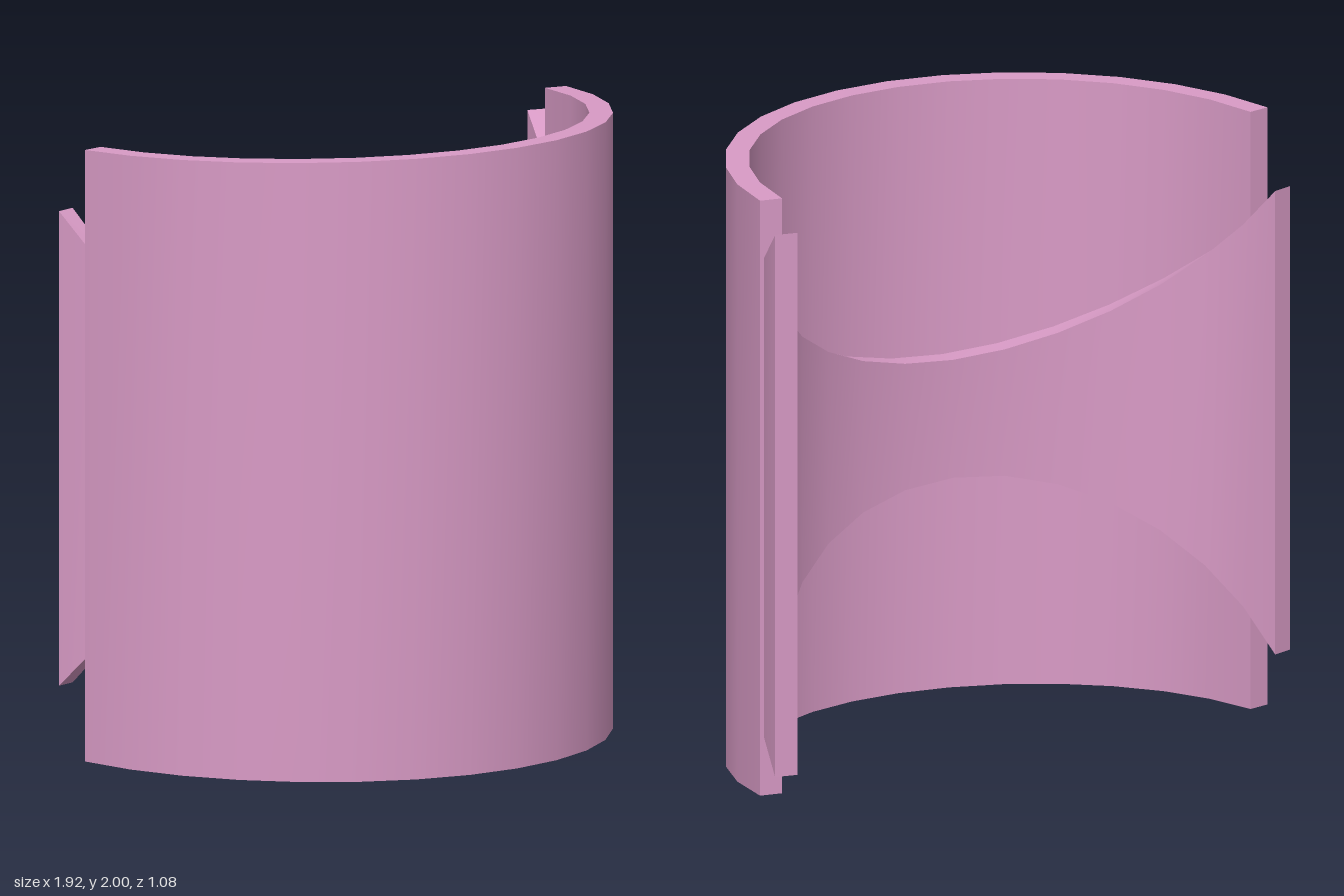
import * as THREE from 'three';
import { mergeGeometries } from 'three/addons/utils/BufferGeometryUtils.js';

const STEPS = 15;
const STEP = Math.PI / 16;
const THICKNESS = 0.075;
const CENTRE_X = -0.005;

// Indexed strip between two rails, smooth along its length
function strip(a, b) {
  const points = [], index = [];
  a.forEach((p, i) => points.push(p, b[i]));
  for (let i = 0; i < a.length - 1; i++) {
    const k = 2 * i;
    index.push(k + 2, k, k + 1, k + 2, k + 1, k + 3);
  }
  const g = new THREE.BufferGeometry().setFromPoints(points);
  g.setIndex(index);
  g.computeVertexNormals();
  return g;
}

// Curved plate: elliptical arc in plan, half height set by a rule of z
function curvedPlate(radiusX, radiusZ, centreZ, halfHeight) {
  const plan = [];
  for (let i = 0; i <= STEPS; i++) {
    plan.push(new THREE.Vector2(
      CENTRE_X + radiusX * Math.cos(i * STEP),
      centreZ + radiusZ * Math.sin(i * STEP)));
  }
  const outLow = [], outHigh = [], inHigh = [], inLow = [];
  plan.forEach((p, i) => {
    const t = plan[Math.min(i + 1, STEPS)].clone().sub(plan[Math.max(i - 1, 0)]).normalize();
    const q = new THREE.Vector2(p.x - t.y * THICKNESS, p.y + t.x * THICKNESS);
    const h = halfHeight(q.y);
    outLow.push(new THREE.Vector3(p.x, 1 - h, p.y));
    outHigh.push(new THREE.Vector3(p.x, 1 + h, p.y));
    inHigh.push(new THREE.Vector3(q.x, 1 + h, q.y));
    inLow.push(new THREE.Vector3(q.x, 1 - h, q.y));
  });
  const n = STEPS;
  return mergeGeometries([
    strip(outLow, outHigh),
    strip(outHigh, inHigh),
    strip(inHigh, inLow),
    strip(inLow, outLow),
    // end faces
    strip([inLow[0], outLow[0]], [inHigh[0], outHigh[0]]),
    strip([outLow[n], inLow[n]], [outHigh[n], inHigh[n]]),
  ]);
}

export function createModel() {
  const group = new THREE.Group();
  const pink = new THREE.MeshStandardMaterial({ color: 0xd99bc6 });
  pink.name = 'pink';

  // Tall front plate, barely tapered towards its ends
  const front = new THREE.Mesh(
    curvedPlate(0.968, 0.972, -0.435, z => 0.98 + 0.0206 * (z + 0.44)), pink);
  front.name = 'frontPlate';

  // Shallower back plate, narrow in the middle and flaring to its ends
  const back = new THREE.Mesh(
    curvedPlate(0.968, 0.7, -0.537, z => 0.885 - 1.1 * (z + 0.54)), pink);
  back.name = 'backPlate';

  group.add(front, back);
  return group;
}
